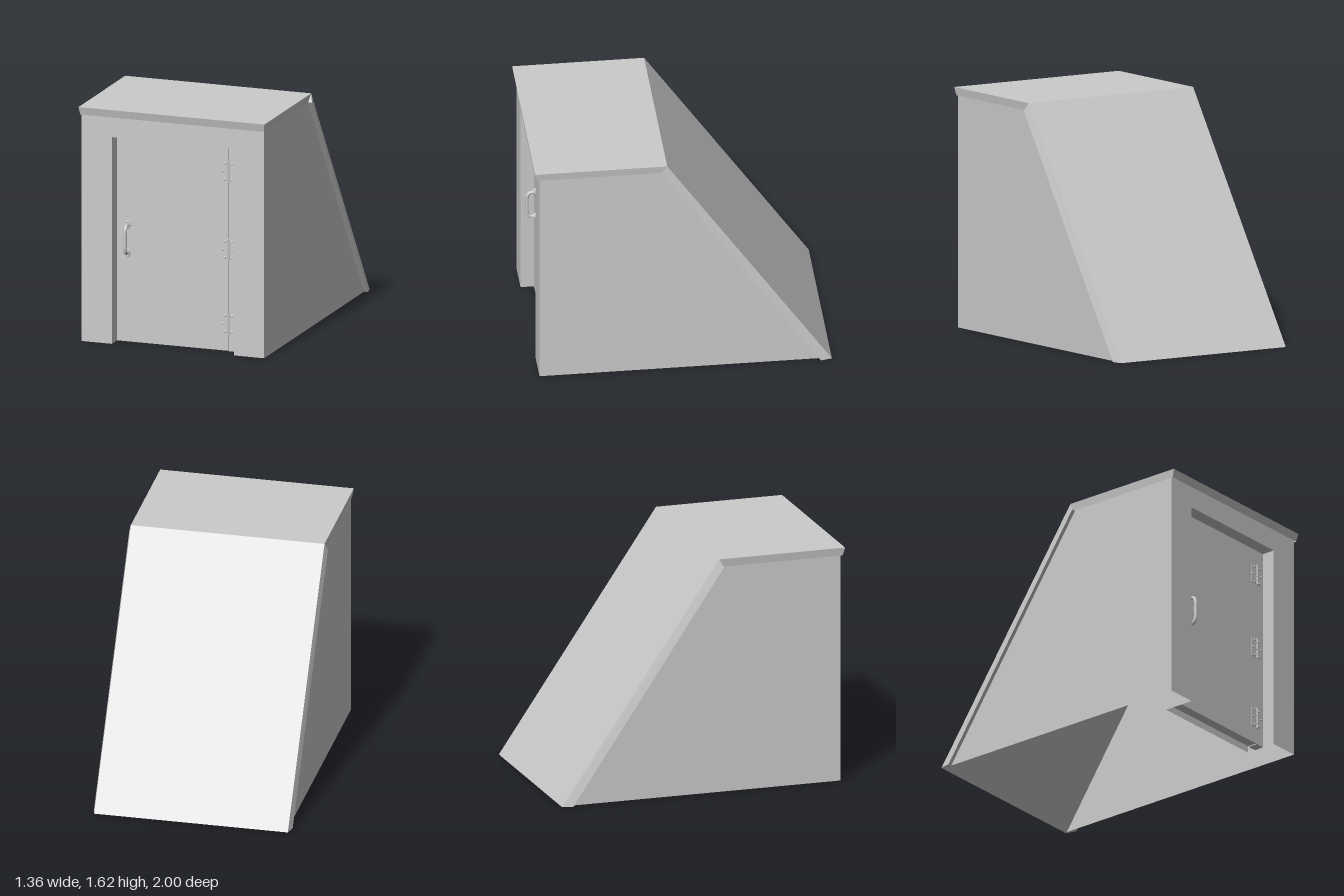
import * as THREE from 'three';

const solid = new THREE.MeshStandardMaterial({ color: 0xcccccc });
const thin = new THREE.MeshStandardMaterial({ color: 0xcccccc, side: THREE.DoubleSide });

function add(parent, name, geometry, x = 0, y = 0, z = 0, material = solid) {
  const mesh = new THREE.Mesh(geometry, material);
  mesh.name = name;
  mesh.position.set(x, y, z);
  parent.add(mesh);
  return mesh;
}

// Box given by its minimum and maximum corners
function block(parent, name, [x0, y0, z0], [x1, y1, z1]) {
  return add(parent, name, new THREE.BoxGeometry(x1 - x0, y1 - y0, z1 - z0),
    (x0 + x1) / 2, (y0 + y1) / 2, (z0 + z1) / 2);
}

// Folded sheet: strips spanned between two matching rows of points
function foldedSheet(parent, name, rowA, rowB) {
  const p = [];
  for (let i = 0; i < rowA.length - 1; i++) {
    const a = rowA[i], b = rowA[i + 1], c = rowB[i + 1], d = rowB[i];
    p.push(...a, ...b, ...c, ...a, ...c, ...d);
  }
  const g = new THREE.BufferGeometry();
  g.setAttribute('position', new THREE.Float32BufferAttribute(p, 3));
  g.computeVertexNormals();
  return add(parent, name, g, 0, 0, 0, thin);
}

const polygon = (pts) => new THREE.Shape(pts.map(([x, y]) => new THREE.Vector2(x, y)));

const W = 0.653, FRONT = 0.97, BACK = 0.75;   // wall half width, front plane, recess end
const OPEN = 0.437, DOOR_TOP = 1.43, DOOR_Z = 0.88, HINGE_X = 0.365;

function makeWalls() {
  const walls = new THREE.Group();
  walls.name = 'walls';
  // Wedge-shaped side walls
  const side = new THREE.ShapeGeometry(polygon(
    [[-FRONT, 0], [0.985, 0], [-0.105, 1.617], [-FRONT, 1.617]]));
  side.rotateY(Math.PI / 2);
  for (const s of [1, -1]) add(walls, s > 0 ? 'leftWall' : 'rightWall', side, s * W, 0, 0, thin);
  // Front wall around the doorway
  const front = polygon([[-W, 0], [-OPEN, 0], [-OPEN, DOOR_TOP], [OPEN, DOOR_TOP],
    [OPEN, 0], [W, 0], [W, 1.617], [-W, 1.617]]);
  add(walls, 'frontWall', new THREE.ShapeGeometry(front), 0, 0, FRONT, thin);
  // Lining of the door recess and its inner panel
  const lining = (z) => [[-OPEN, 0, z], [-OPEN, DOOR_TOP, z], [OPEN, DOOR_TOP, z], [OPEN, 0, z]];
  foldedSheet(walls, 'doorRecess', lining(FRONT), lining(BACK));
  add(walls, 'recessBackPanel', new THREE.PlaneGeometry(2 * OPEN, DOOR_TOP),
    0, DOOR_TOP / 2, BACK, thin);
  return walls;
}

function makeRoof() {
  const roof = new THREE.Group();
  roof.name = 'roof';
  // Flat top with lips down its two sides and front
  const flat = (zTop, zLow) => [[-0.657, 1.57, zLow], [-0.665, 1.625, zTop],
    [0.665, 1.625, zTop], [0.657, 1.57, zLow]];
  const nose = flat(1, 0.985);
  foldedSheet(roof, 'flatRoof', nose, flat(0.11, 0.14));
  foldedSheet(roof, 'frontLip', [nose[1], nose[2]], [nose[0], nose[3]]);
  // Sloping back with flared lips folded in against the walls
  const slope = (y, z, yLow, zLow) => [[-W, yLow, zLow], [-0.682, yLow, zLow], [-0.665, y, z],
    [0.665, y, z], [0.682, yLow, zLow], [W, yLow, zLow]];
  const ridge = slope(1.625, 0.11, 1.57, 0.14);
  const toe = slope(0, -1, 0, -0.925);
  foldedSheet(roof, 'slopingRoof', ridge, toe);
  // End caps of the folded lips
  for (const r of [ridge, toe]) {
    foldedSheet(roof, 'lipCap', [r[0], r[1]], [[-W, r[2][1], r[2][2]], r[2]]);
    foldedSheet(roof, 'lipCap', [r[5], r[4]], [[W, r[3][1], r[3][2]], r[3]]);
  }
  return roof;
}

function makeHinge(y) {
  const hinge = new THREE.Group();
  hinge.name = 'hinge';
  hinge.position.set(HINGE_X, y, DOOR_Z);
  for (const s of [-1, 1]) {
    block(hinge, 'hingeLeaf', [s * 0.028 - 0.025, -0.066, -0.002], [s * 0.028 + 0.025, 0.066, 0.004]);
    // Three screws in a triangle on each leaf
    for (const [x, sy] of [[0.024, 0.055], [0.04, 0], [0.024, -0.055]]) {
      const head = new THREE.SphereGeometry(0.009, 12, 6, 0, Math.PI * 2, 0, Math.PI / 2);
      head.scale(1, 0.6, 1);
      head.rotateX(Math.PI / 2);
      add(hinge, 'screw', head, s * x, sy, 0.004);
    }
  }
  // Knuckles along the pin
  for (let i = -2; i <= 2; i++)
    add(hinge, 'knuckle', new THREE.CylinderGeometry(0.008, 0.008, 0.027, 12), 0, i * 0.028, 0.006);
  add(hinge, 'pin', new THREE.CylinderGeometry(0.005, 0.005, 0.152, 10), 0, 0, 0.006);
  return hinge;
}

function makeHandle() {
  const handle = new THREE.Group();
  handle.name = 'handle';
  handle.position.set(-0.355, 0.715, DOOR_Z);
  // Bowed grip
  const path = new THREE.CatmullRomCurve3([[-0.095, 0], [-0.093, 0.035], [-0.075, 0.052], [0, 0.056],
    [0.075, 0.052], [0.093, 0.035], [0.095, 0]].map(([y, z]) => new THREE.Vector3(0, y, z)));
  add(handle, 'grip', new THREE.TubeGeometry(path, 40, 0.012, 10));
  // Oval foot plates with a screw each
  for (const s of [-1, 1]) {
    const foot = new THREE.CylinderGeometry(0.017, 0.019, 0.008, 20);
    foot.rotateX(Math.PI / 2);
    foot.scale(1, 1.5, 1);
    add(handle, 'handleFoot', foot, 0, s * 0.098, 0.004);
    add(handle, 'screw', new THREE.SphereGeometry(0.007, 10, 6), 0, s * 0.116, 0.008);
  }
  return handle;
}

export function createModel() {
  const model = new THREE.Group();
  model.name = 'wedgeShelter';
  model.add(makeWalls(), makeRoof());

  // Door leaf and the hinge post beside it
  const door = new THREE.Group();
  door.name = 'door';
  block(door, 'doorLeaf', [-0.435, 0.003, 0.81], [HINGE_X - 0.002, DOOR_TOP - 0.003, DOOR_Z]);
  block(door, 'hingePost', [HINGE_X + 0.002, 0, 0.81], [0.435, DOOR_TOP - 0.003, DOOR_Z]);
  for (const y of [1.245, 0.705, 0.19]) door.add(makeHinge(y));
  door.add(makeHandle());
  model.add(door);
  return model;
}
